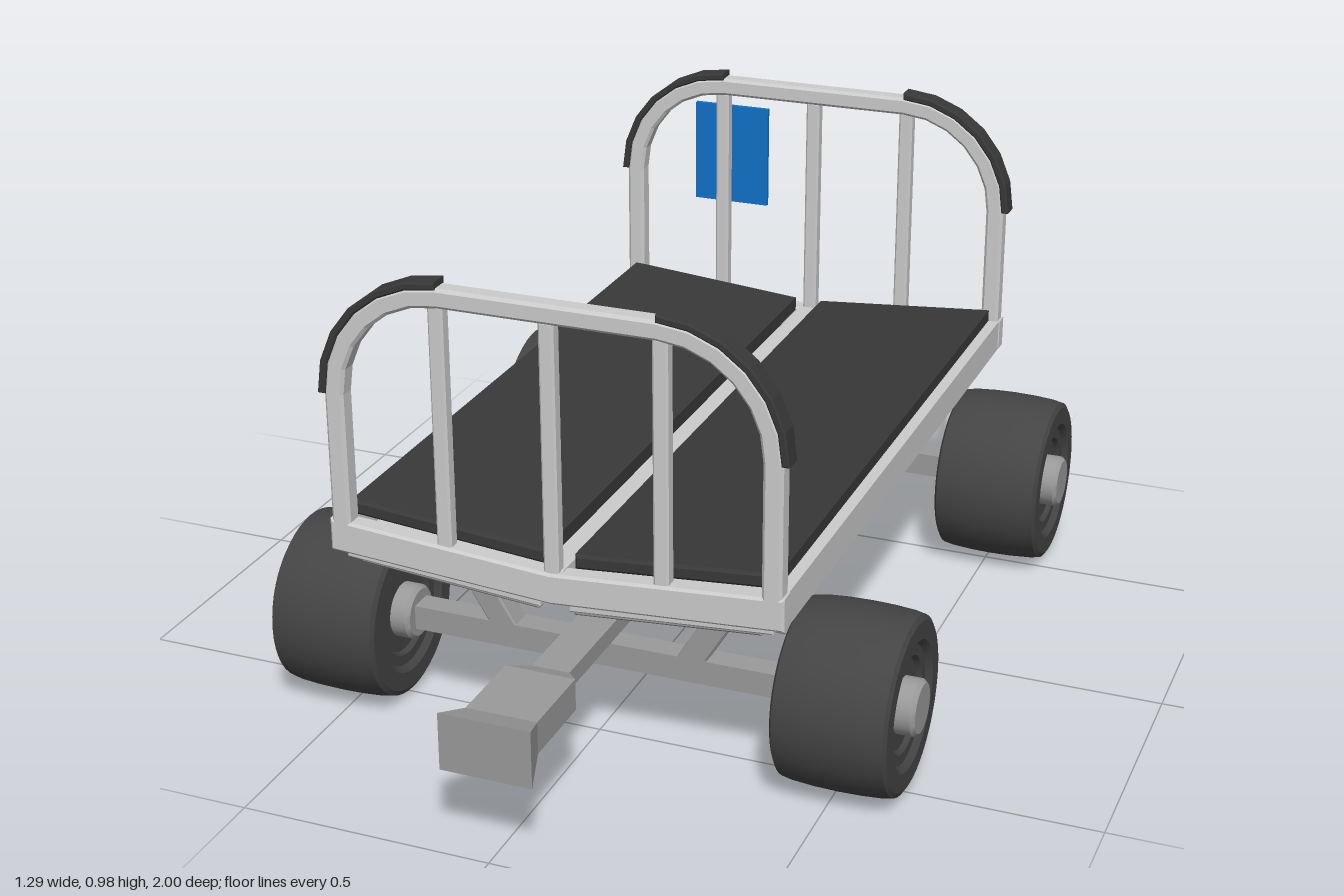
import * as THREE from 'three';
import { toCreasedNormals } from 'three/addons/utils/BufferGeometryUtils.js';

const paint = (color) => new THREE.MeshStandardMaterial({ color });
const steel = paint(0xcccccc);
const darkSteel = paint(0x9a9a9a);
const rubber = paint(0x444444);
const matting = paint(0x383838);
const blue = paint(0x0f72c8);

const FRONT = [0.675, 0.715], REAR = [-0.755, -0.715]; // z ranges of the end frames

function add(parent, name, geometry, material) {
  const mesh = new THREE.Mesh(geometry, material);
  mesh.name = name;
  parent.add(mesh);
  return mesh;
}

// Extrudes a cross-section of [x, y] points from z0 to z1 with a small inward bevel
function prism(section, z0, z1, bevel = 0.004) {
  const shape = new THREE.Shape(section.map(([x, y]) => new THREE.Vector2(x, y)));
  const geo = new THREE.ExtrudeGeometry(shape, {
    depth: z1 - z0 - 2 * bevel, bevelEnabled: bevel > 0,
    bevelSize: bevel, bevelThickness: bevel, bevelOffset: -bevel, bevelSegments: 1,
  });
  return geo.translate(0, 0, z0 + bevel);
}

const rect = (x0, x1, y0, y1) => [[x0, y0], [x1, y0], [x1, y1], [x0, y1]];

// Sloping slab on side s: yIn and yOut are the top heights at its two edges
const slope = (s, xIn, xOut, yIn, yOut, t) =>
  [[s * xIn, yIn - t], [s * xOut, yOut - t], [s * xOut, yOut], [s * xIn, yIn]];

// Quarter arc of a shoulder on side s, from its outer side up to its top
function shoulder(s, r) {
  return Array.from({ length: 7 }, (_, i) => {
    const a = (i / 6) * Math.PI / 2;
    return [s * (0.21 + r * Math.cos(a)), 0.73 + r * Math.sin(a)];
  });
}

// Inverted U with rounded shoulders
function archSection() {
  const outline = (r) => [[0.21 + r, 0.44], ...shoulder(1, r), ...shoulder(-1, r).reverse(), [-0.21 - r, 0.44]];
  return [...outline(0.235), ...outline(0.197).reverse()];
}

// Guard strip over one shoulder
const guardSection = (s) => [...shoulder(s, 0.247), ...shoulder(s, 0.232).reverse()];

function endFrame([z0, z1], name) {
  const g = new THREE.Group();
  g.name = name;
  add(g, 'crossBeam', prism([[-0.45, 0.41], [0, 0.38], [0.45, 0.41], [0.45, 0.475], [0, 0.442], [-0.45, 0.475]],
    z0, z1, 0.005), steel);
  add(g, 'arch', prism(archSection(), z0, z1, 0.006), steel);
  for (const x of [-0.215, 0, 0.215])
    add(g, 'uprightBar', prism(rect(x - 0.015, x + 0.015, 0.43, 0.93), z0 + 0.006, z1 - 0.006), steel);
  for (const s of [-1, 1])
    add(g, 'shoulderGuard', prism(guardSection(s), z0 - 0.002, z1 + 0.002, 0.003), matting);
  return g;
}

// Deck mats, rails and the shallow V tray beneath
function platform() {
  const g = new THREE.Group();
  g.name = 'platform';
  for (const s of [-1, 1]) {
    add(g, 'deckMat', prism(slope(s, 0.03, 0.425, 0.467, 0.5, 0.03), -0.722, 0.672, 0.006), matting);
    add(g, 'sideRail', prism(rect(s * 0.424, s * 0.448, 0.408, 0.475), -0.75, 0.71), steel);
    add(g, 'tray', prism(slope(s, 0.028, 0.425, 0.385, 0.415, 0.022), -0.74, 0.7), steel);
    add(g, 'trayPanel', prism(slope(s, 0.035, 0.4, 0.371, 0.4, 0.018), -0.725, 0.69), darkSteel);
  }
  add(g, 'centreRail', prism(rect(-0.02, 0.02, 0.385, 0.445), -0.74, 0.7), steel);
  return g;
}

// Turned part with its axis along x
function lathe(points, segments) {
  const geo = new THREE.LatheGeometry(points.map(([r, y]) => new THREE.Vector2(r, y)), segments);
  return toCreasedNormals(geo, 0.5).rotateZ(-Math.PI / 2);
}

function axle(z) {
  const g = new THREE.Group();
  g.name = 'axleAssembly';
  g.position.set(0, 0.181, z);
  // Half of the tyre profile, mirrored to the other face
  const half = [[0.001, -0.09], [0.088, -0.09], [0.094, -0.1], [0.115, -0.1], [0.12, -0.106], [0.126, -0.112],
    [0.162, -0.112], [0.172, -0.106], [0.176, -0.085], [0.179, -0.045], [0.18, 0]];
  const tyre = lathe([...half, ...half.slice(0, -1).reverse().map(([r, y]) => [r, -y])], 48);
  const hub = lathe([[0.001, -0.13], [0.048, -0.13], [0.055, -0.122], [0.055, 0.122], [0.048, 0.13], [0.001, 0.13]], 32);
  add(g, 'axleBeam', new THREE.BoxGeometry(0.8, 0.05, 0.05), darkSteel);
  for (const s of [-1, 1]) {
    add(g, 'tyre', tyre, rubber).position.x = s * 0.516;
    add(g, 'hub', hub, darkSteel).position.x = s * 0.516;
    add(g, 'strut', prism([[s * 0.165, 0.02], [s * 0.225, 0.02], [s * 0.34, 0.21], [s * 0.28, 0.21]],
      -0.025, 0.025), darkSteel);
  }
  return g;
}

// Flared coupler lofted through rectangular sections [z, halfWidth, bottom, top]
function couplerGeometry() {
  const rows = [[0.72, 0.038, 0.214, 0.25], [0.765, 0.07, 0.203, 0.267], [0.93, 0.07, 0.203, 0.267], [1, 0.09, 0.175, 0.29]];
  const pos = [], index = [];
  for (const [z, w, b, t] of rows) pos.push(-w, b, z, w, b, z, w, t, z, -w, t, z);
  for (let r = 0; r < rows.length - 1; r++)
    for (let i = 0; i < 4; i++) {
      const a = r * 4 + i, b = r * 4 + (i + 1) % 4;
      index.push(a, b, b + 4, a, b + 4, a + 4);
    }
  const e = (rows.length - 1) * 4;
  index.push(0, 2, 1, 0, 3, 2, e, e + 1, e + 2, e, e + 2, e + 3);
  const geo = new THREE.BufferGeometry();
  geo.setAttribute('position', new THREE.Float32BufferAttribute(pos, 3));
  geo.setIndex(index);
  const flat = geo.toNonIndexed();
  flat.computeVertexNormals();
  return flat;
}

export function createModel() {
  const model = new THREE.Group();
  model.name = 'luggageTrailer';
  model.add(platform(), endFrame(FRONT, 'frontFrame'), endFrame(REAR, 'rearFrame'));
  model.add(axle(0.492), axle(-0.567));
  add(model, 'drawbar', prism(rect(-0.038, 0.038, 0.214, 0.25), -1, 0.73, 0.003), darkSteel);
  add(model, 'coupler', couplerGeometry(), darkSteel);
  // Plate fixed to the outside of the rear frame
  add(model, 'rearPlate', prism(rect(-0.288, -0.115, 0.668, 0.895), -0.757, -0.747, 0), blue);
  return model;
}
